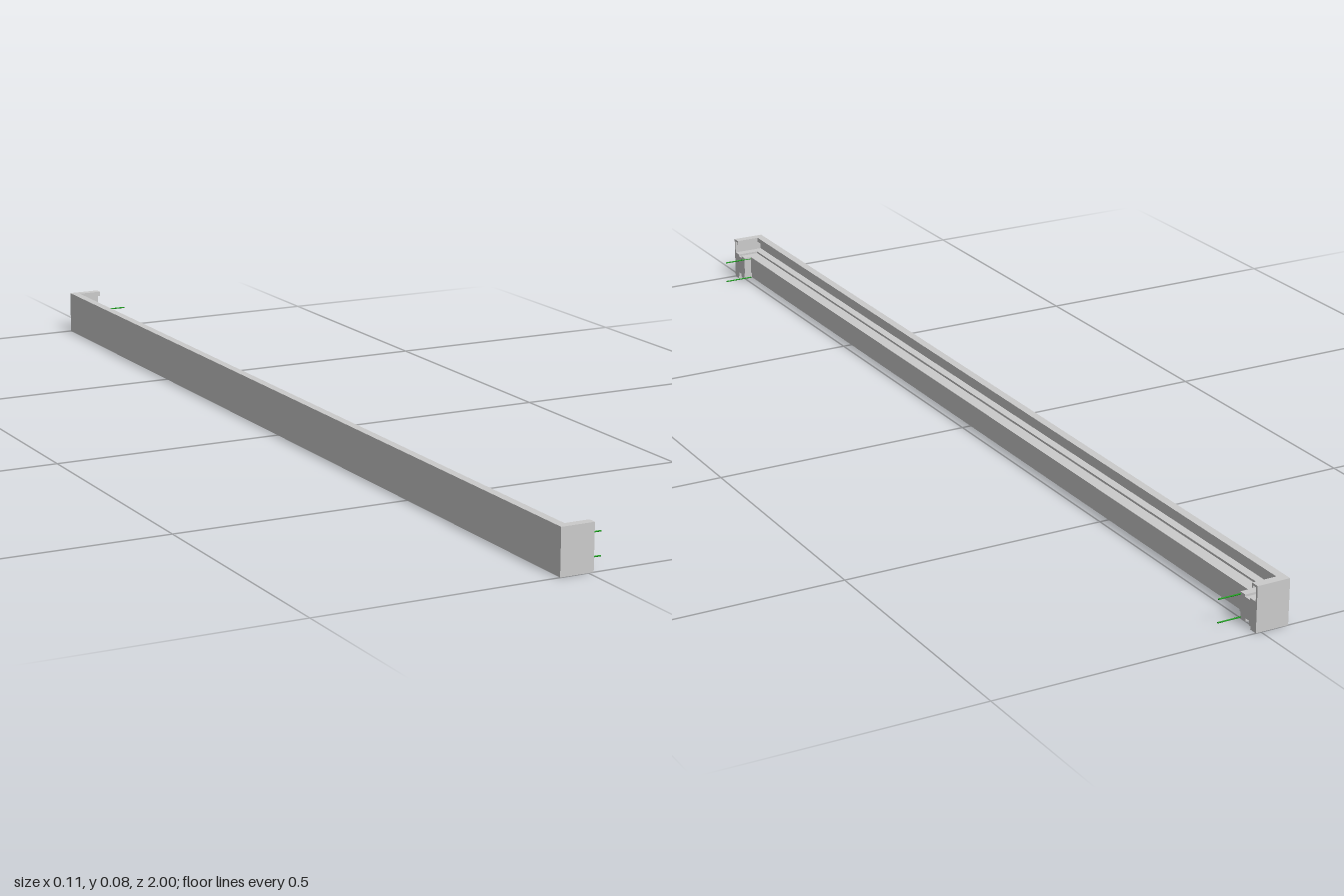
import * as THREE from 'three';

// Rail cross-section: [distance in from the outer face, height], anticlockwise
const PROFILE = [
  [0, 0], [0.016, 0], [0.016, 0.006], [0.020, 0.006], [0.020, 0.014],
  [0.030, 0.014], [0.030, 0.008], [0.045, 0.008], [0.045, 0.020], [0.048, 0.020],
  [0.048, 0.055], [0.034, 0.055], [0.034, 0.051], [0.020, 0.051], [0.020, 0.055],
  [0.004, 0.055], [0.004, 0.080], [0.013, 0.080], [0.013, 0.075], [0.016, 0.075],
  [0.016, 0.084], [0, 0.084],
];
const BACK = -0.053, TIP = 0.01, HALF = 1;

// Sweep the section round a mitred U: front return, long rail, back return
function sweepRail() {
  const stations = [
    ([s, y]) => [TIP, y, HALF - s],
    ([s, y]) => [BACK + s, y, HALF - s],
    ([s, y]) => [BACK + s, y, s - HALF],
    ([s, y]) => [TIP, y, s - HALF],
  ];
  const rings = stations.map((place) => PROFILE.map(place));
  const pos = [];
  const tri = (a, b, c) => pos.push(...a, ...b, ...c);
  for (let k = 0; k < rings.length - 1; k++) {
    for (let i = 0; i < PROFILE.length; i++) {
      const j = (i + 1) % PROFILE.length;
      tri(rings[k][i], rings[k + 1][i], rings[k + 1][j]);
      tri(rings[k][i], rings[k + 1][j], rings[k][j]);
    }
  }
  // Close the two cut ends
  const contour = PROFILE.map(([s, y]) => new THREE.Vector2(s, y));
  for (const [a, b, c] of THREE.ShapeUtils.triangulateShape(contour, [])) {
    tri(rings[0][a], rings[0][b], rings[0][c]);
    tri(rings[3][a], rings[3][c], rings[3][b]);
  }
  const geometry = new THREE.BufferGeometry();
  geometry.setAttribute('position', new THREE.Float32BufferAttribute(pos, 3));
  geometry.computeVertexNormals();
  return geometry;
}

export function createModel() {
  const model = new THREE.Group();
  const grey = new THREE.MeshStandardMaterial({ color: 0xcccccc, flatShading: true });
  const green = new THREE.MeshStandardMaterial({ color: 0x009900 });

  const rail = new THREE.Mesh(sweepRail(), grey);
  rail.name = 'mitredRail';
  model.add(rail);

  // Thin fixing pins standing out from both returns
  const pinGeometry = new THREE.CylinderGeometry(0.0013, 0.0013, 0.058, 8).rotateZ(Math.PI / 2);
  for (const side of [-1, 1]) {
    for (const y of [0.009, 0.051]) {
      const pin = new THREE.Mesh(pinGeometry, green);
      pin.name = 'fixingPin';
      pin.position.set(0.024, y, side * 0.953);
      model.add(pin);
    }
  }
  return model;
}
